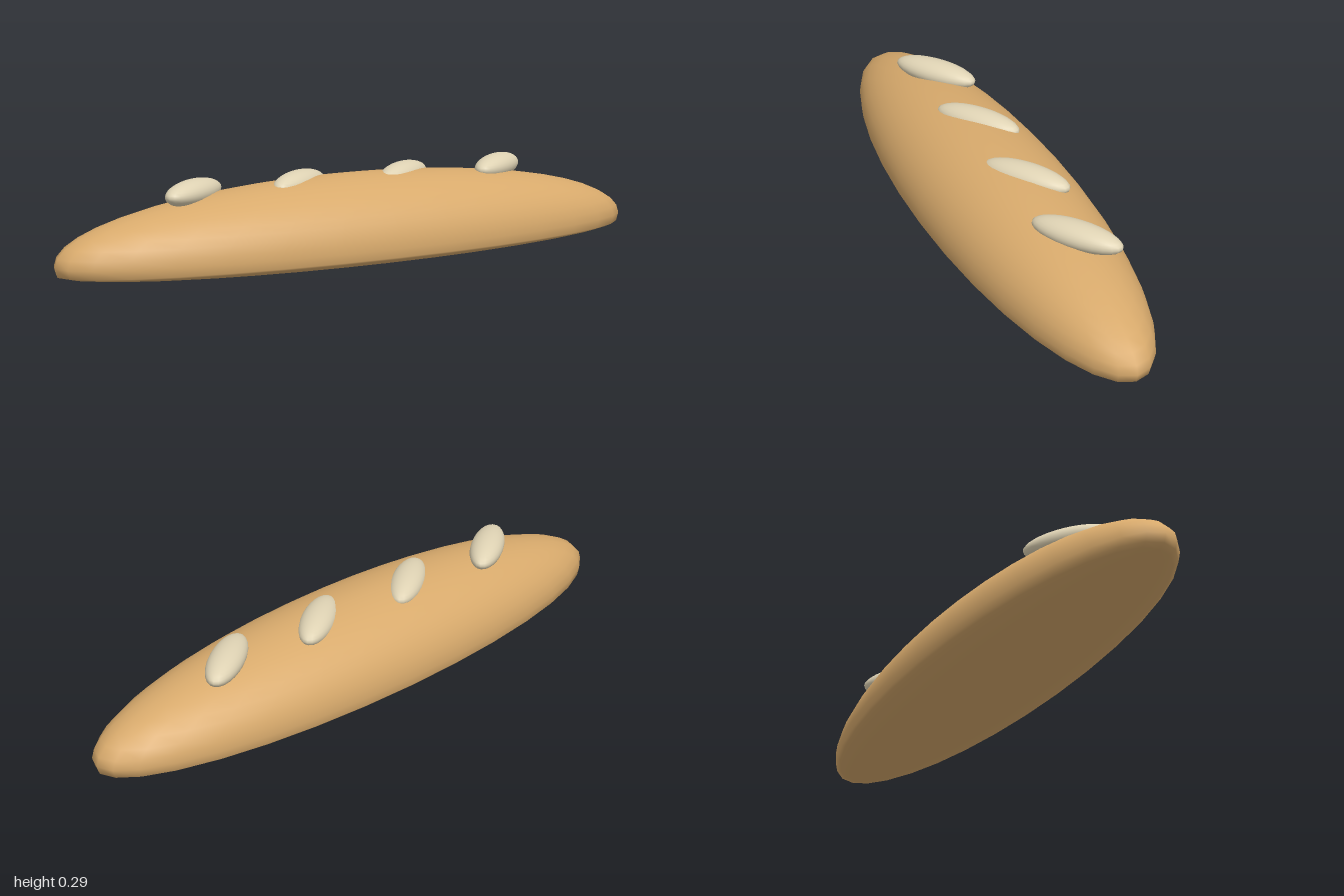
import * as THREE from 'three';
import { mergeVertices } from 'three/addons/utils/BufferGeometryUtils.js';

const crust = new THREE.MeshStandardMaterial({ color: 0xd8aa6c });
crust.name = 'crust';
const flour = new THREE.MeshStandardMaterial({ color: 0xdfd3b4 });
flour.name = 'flour';

// Long ellipsoid whose underside is pressed almost flat
function loafGeometry() {
  const rx = 1, ry = 0.2, rz = 0.244, centreY = 0.069, edgeY = 0.043, squash = 0.24;
  let geo = new THREE.SphereGeometry(1, 32, 24);
  geo.scale(rx, ry, rz).translate(0, centreY, 0);
  const pos = geo.attributes.position;
  for (let i = 0; i < pos.count; i++) {
    const y = pos.getY(i);
    if (y < edgeY) pos.setY(i, edgeY + (y - edgeY) * squash);
  }
  // Weld the seam so the recomputed normals stay smooth
  geo.deleteAttribute('uv');
  geo.deleteAttribute('normal');
  geo = mergeVertices(geo, 1e-4);
  geo.computeVertexNormals();
  return geo;
}

export function createModel() {
  const bread = new THREE.Group();
  bread.name = 'breadLoaf';

  const loaf = new THREE.Mesh(loafGeometry(), crust);
  loaf.name = 'loaf';
  bread.add(loaf);

  // Four slanted scores along the top
  const scoreGeo = new THREE.SphereGeometry(1, 24, 16);
  scoreGeo.scale(0.148, 0.039, 0.052);
  [-0.543, -0.187, 0.187, 0.543].forEach((x, i) => {
    const score = new THREE.Mesh(scoreGeo, flour);
    score.name = `score${i + 1}`;
    score.position.set(x, 0.248, -0.028);
    score.rotation.y = THREE.MathUtils.degToRad(35);
    bread.add(score);
  });

  return bread;
}
